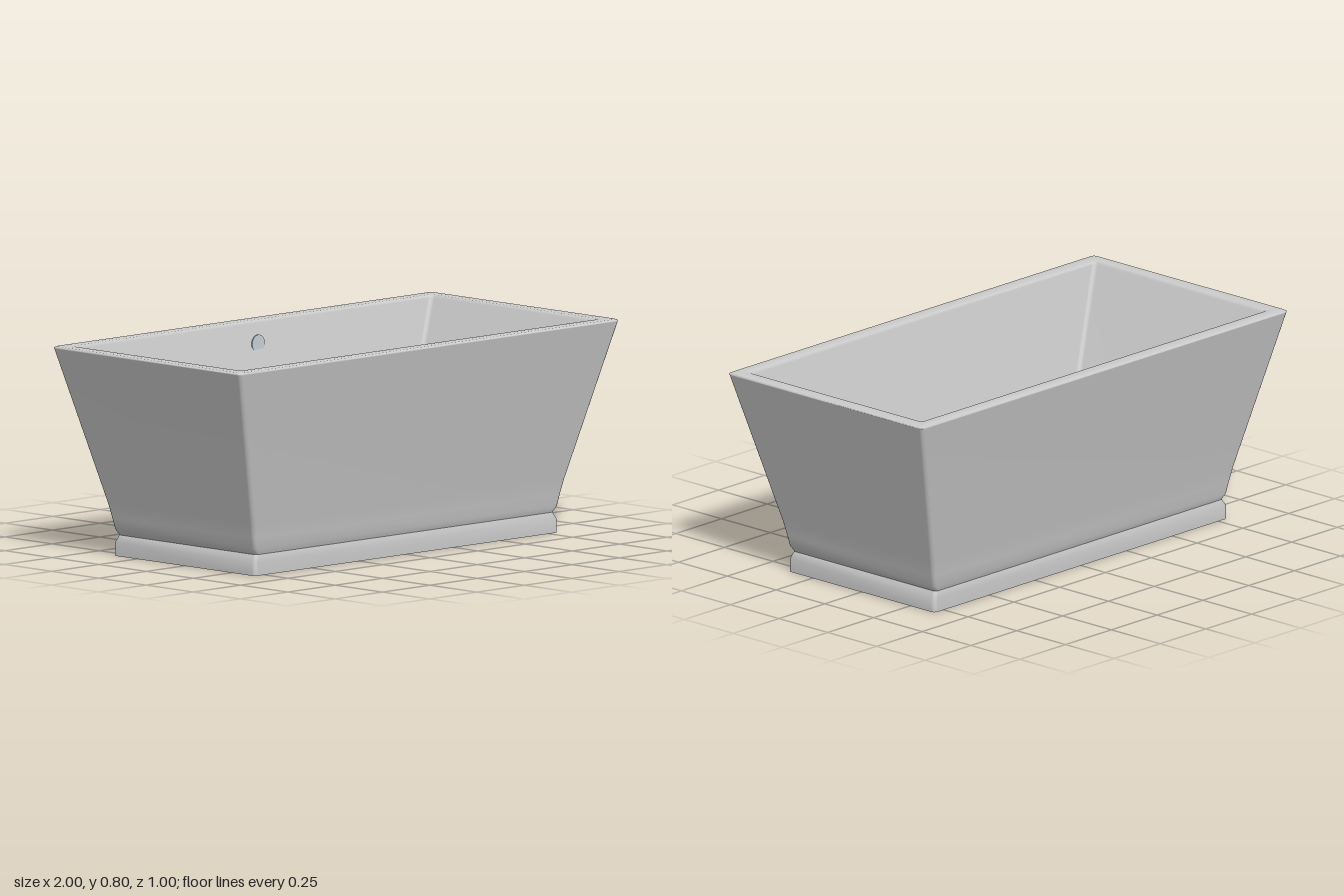
import * as THREE from 'three';

const grey = new THREE.MeshStandardMaterial({ color: 0xcccccc });
const metal = new THREE.MeshStandardMaterial({ color: 0xc8d3dc });
const FLOOR = 0.17;

// Rounded rectangle loop, counter-clockwise seen from above
function ring(hx, hz, y, r = 0.016, steps = 4) {
  const corners = [[1, -1], [-1, -1], [-1, 1], [1, 1]];
  const pts = [];
  corners.forEach(([sx, sz], q) => {
    for (let k = 0; k <= steps; k++) {
      const a = (q + k / steps) * Math.PI / 2;
      pts.push(sx * (hx - r) + r * Math.cos(a), y, sz * (hz - r) - r * Math.sin(a));
    }
  });
  return pts;
}

// Skin between successive [halfX, halfZ, y, radius] sections
function loft(name, sections) {
  const pos = sections.flatMap((s) => ring(...s));
  const n = pos.length / 3 / sections.length;
  const index = [];
  for (let i = 0; i < sections.length - 1; i++) {
    for (let j = 0; j < n; j++) {
      const a = i * n + j, b = i * n + (j + 1) % n;
      index.push(a, b, a + n, b, b + n, a + n);
    }
  }
  const geo = new THREE.BufferGeometry();
  geo.setAttribute('position', new THREE.Float32BufferAttribute(pos, 3));
  geo.setIndex(index);
  geo.computeVertexNormals();
  const mesh = new THREE.Mesh(geo, grey);
  mesh.name = name;
  return mesh;
}

function disc(name, radius, x, y, z, tilt) {
  const mesh = new THREE.Mesh(new THREE.CylinderGeometry(radius, radius, 0.004, 32), metal);
  mesh.name = name;
  mesh.position.set(x, y, z);
  mesh.rotation.x = tilt;
  return mesh;
}

export function createModel() {
  const tub = new THREE.Group();
  tub.name = 'bathtub';

  // Underside and plinth, up to the bottom of the groove
  tub.add(loft('underside', [[0, 0, 0, 0], [0.8, 0.375, 0]]));
  tub.add(loft('plinth', [
    [0.8, 0.375, 0], [0.8, 0.375, 0.052], [0.785, 0.367, 0.078],
  ]));

  // Flared outer walls, softly crowned rim and sloping inner walls
  tub.add(loft('shell', [
    [0.785, 0.367, 0.078], [0.8, 0.375, 0.1], [0.81, 0.381, 0.145],
    [0.824, 0.389, 0.2], [0.998, 0.499, 0.79], [0.998, 0.498, 0.796],
    [1, 0.5, 0.794], [0.992, 0.492, 0.799], [0.97, 0.47, 0.8],
    [0.948, 0.448, 0.799], [0.94, 0.44, 0.795], [0.937, 0.438, 0.787],
    [0.6, 0.26, FLOOR],
  ].filter((s) => s[2] !== 0.796)));
  tub.add(loft('basinFloor', [[0.6, 0.26, FLOOR], [0, 0, FLOOR, 0]]));

  // Drain in the floor, upright overflow cover high on the back wall
  tub.add(disc('drain', 0.035, 0, FLOOR + 0.001, 0, 0));
  tub.add(disc('overflowCover', 0.033, 0, 0.715, -0.413, Math.PI / 2));
  return tub;
}
